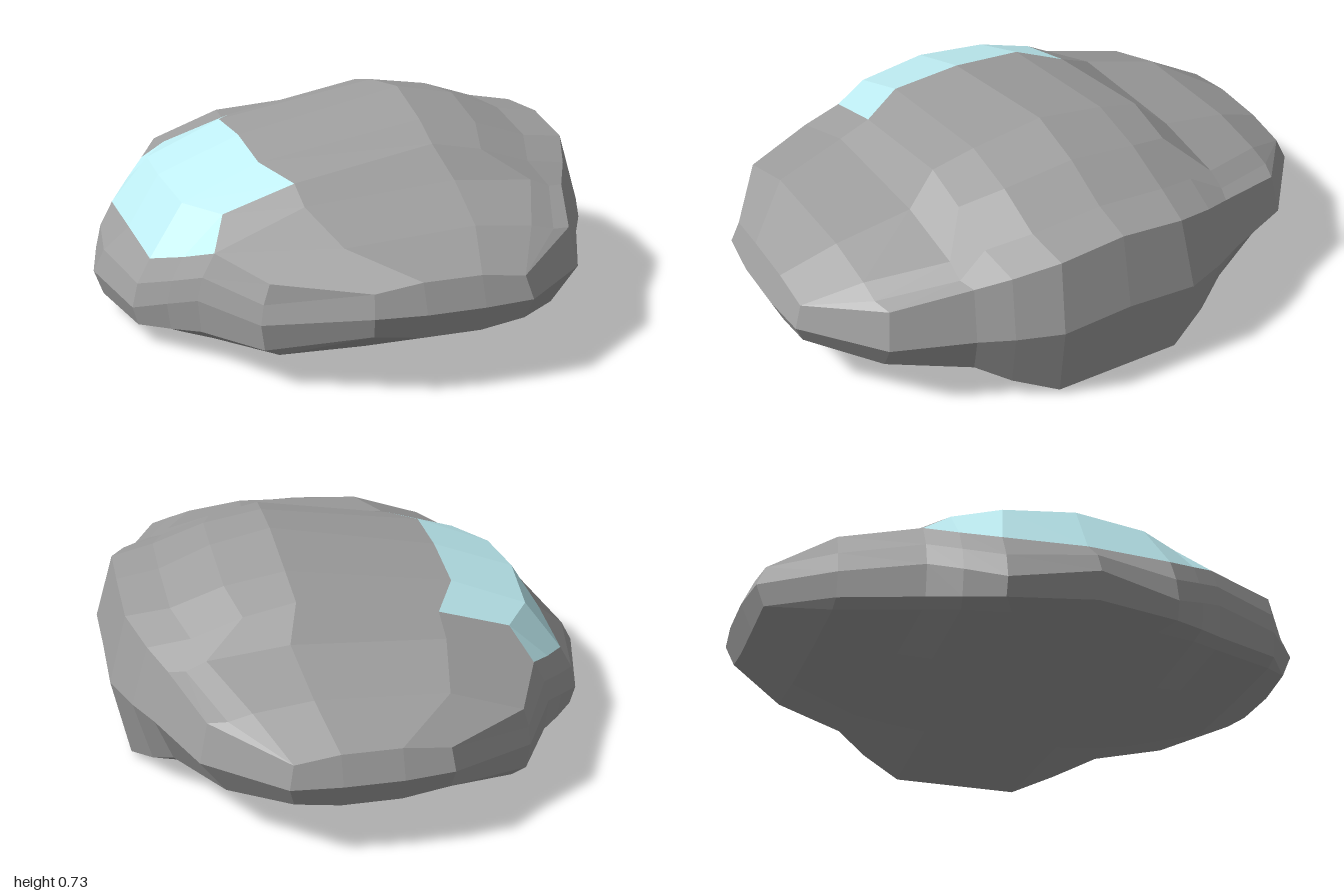
import * as THREE from 'three';

// Half-body cross-sections from the centre plane outwards. Each profile of [x, y] points
// runs nose rim -> over the top -> tail rim -> back along the belly.
const stations = [
  { z: 0, noseZ: 0, profile: [[-.86, .16], [-.73, .31], [-.62, .49], [-.33, .605], [.26, .725], [.47, .68],
    [.8, .58], [.86, .33], [.8, .02], [.33, .035], [-.33, 0], [-.7, .05]] },
  { z: .25, noseZ: .29, profile: [[-.79, .13], [-.725, .3], [-.6, .47], [-.33, .585], [.25, .68], [.46, .645],
    [.795, .555], [.86, .315], [.8, .02], [.33, .035], [-.33, .005], [-.7, .05]] },
  { z: .4, noseZ: .41, profile: [[-.7, .18], [-.64, .34], [-.5, .47], [-.25, .55], [.24, .638], [.42, .6],
    [.74, .51], [.8, .308], [.74, .08], [.33, .05], [-.3, .035], [-.64, .065]] },
  { z: .51, noseZ: .51, profile: [[-.62, .22], [-.56, .38], [-.56, .38], [-.25, .505], [.28, .54], [.56, .51],
    [.685, .472], [.74, .3], [.68, .14], [.33, .065], [-.25, .06], [-.57, .08]] },
  { z: .77, noseZ: .77, profile: [[-.48, .22], [-.45, .36], [-.45, .36], [-.2, .45], [.25, .475], [.45, .45],
    [.595, .42], [.625, .285], [.54, .16], [.2, .1], [-.13, .1], [-.42, .11]] },
];

// The rim at the side tip, nose to tail, and which rim point each column runs to.
const tipRim = [[-.17, .285, .98], [0, .285, 1], [.2, .285, 1], [.37, .285, .985]];
const tipColumns = [0, 0, 0, 0, 1, 2, 3, 3, 3, 3, 3, 2, 1, 0, 0];
const TAIL_RIM = 9;

const mix = (a, b, tx, ty) => [a[0] + (b[0] - a[0]) * tx, a[1] + (b[1] - a[1]) * ty];

// Turns a station into 15 points, adding the nose lip, rear roof and chin by rule.
function buildSection({ z, noseZ, profile }) {
  const [nose, foot, brow, roof, crown, rear, tailTop, tail, tailBase, ...belly] = profile;
  const lip = mix(nose, foot, .3, .5);
  const rearRoof = mix(rear, tailTop, .55, .55);
  rearRoof[1] -= .02 * (1 - z);
  const chin = mix(nose, belly[2], .2, .8);
  const at = (depth, points) => points.map(([x, y]) => new THREE.Vector3(x, y, depth));
  const edgeZ = Math.max(0, z - .02);
  return [
    ...at(noseZ, [nose, lip, foot]),
    ...at(z, [brow, roof, crown, rear, rearRoof]),
    ...at(edgeZ, [tailTop]), ...at(z, [tail]), ...at(edgeZ, [tailBase]),
    ...at(z, belly), ...at(noseZ, [chin]),
  ];
}

// Bevel just inside the tip: the rim pushed up over the deck and down under the belly.
const shoulder = tipColumns.map((k, col) => {
  const [x, y, z] = tipRim[k];
  if (col === 0 || col === TAIL_RIM) return new THREE.Vector3(x, y, z);
  const corner = k === 0 || k === 3;
  const rise = (corner ? .073 : .095) * (col < TAIL_RIM ? 1 : -1);
  return new THREE.Vector3(x * (corner ? .95 : 1), y + rise, z - (corner ? .03 : .043));
});

const tip = tipColumns.map((k) => new THREE.Vector3(...tipRim[k]));
const sections = [...stations.map(buildSection), shoulder, tip];

// Canopy panels: the windscreen strip and the roof strip behind it.
const isCanopy = (row, col) => (col === 2 && row < 3) || (col === 3 && row < 2);

// Adds a four-cornered panel with one facet normal; side = -1 mirrors it across z.
function addPanel(positions, normals, corners, side) {
  const [a, b, c, d] = corners;
  const normal = c.clone().sub(a).cross(d.clone().sub(b)).normalize();
  for (const [p, q, r] of [[a, b, c], [a, c, d]]) {
    if (new THREE.Triangle(p, q, r).getArea() < 1e-5) continue;
    for (const v of side > 0 ? [p, q, r] : [p, r, q]) {
      positions.push(v.x, v.y, v.z * side);
      normals.push(normal.x, normal.y, normal.z * side);
    }
  }
}

// Skins the panels chosen by a test, on both sides.
function skin(name, color, test) {
  const positions = [], normals = [];
  for (const side of [1, -1]) {
    for (let row = 0; row < sections.length - 1; row++) {
      const inner = sections[row], outer = sections[row + 1];
      for (let col = 0; col < inner.length; col++) {
        if (!test(row, col)) continue;
        const next = (col + 1) % inner.length;
        addPanel(positions, normals, [inner[col], outer[col], outer[next], inner[next]], side);
      }
    }
  }
  const geometry = new THREE.BufferGeometry();
  geometry.setAttribute('position', new THREE.Float32BufferAttribute(positions, 3));
  geometry.setAttribute('normal', new THREE.Float32BufferAttribute(normals, 3));
  const mesh = new THREE.Mesh(geometry, new THREE.MeshStandardMaterial({ color }));
  mesh.name = name;
  return mesh;
}

export function createModel() {
  const model = new THREE.Group();
  model.name = 'saucerShip';
  model.add(skin('hull', 0x9e9e9e, (row, col) => !isCanopy(row, col)));
  model.add(skin('canopy', 0xbfeef4, isCanopy));
  return model;
}
